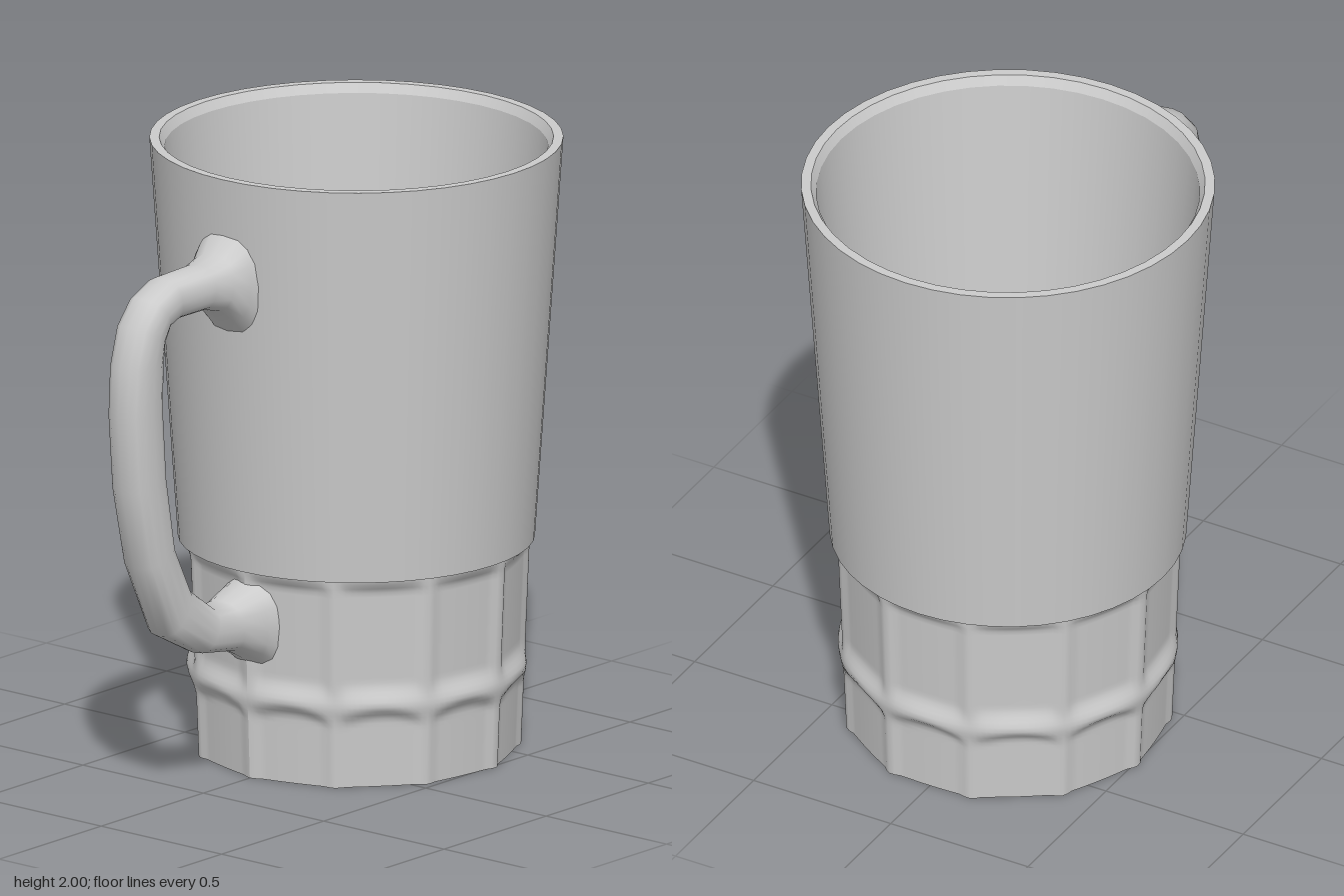
import * as THREE from 'three';

const PANELS = 11, CUP_X = 0.25;
const RIB = -Math.PI / 2; // one rib lines up with the handle
const material = new THREE.MeshStandardMaterial({ color: 0xcccccc });
const { smoothstep } = THREE.MathUtils;

// Radius of the panelled foot at angle a and height y
function footRadius(a, y) {
  const t = (((a - RIB) / (2 * Math.PI)) * PANELS + PANELS) % 1;
  const u = Math.abs(2 * t - 1); // 0 mid panel, 1 on a rib
  const across = 1 - smoothstep(u, 0.72, 1);
  const arch = 0.185 + 0.04 * (1 - u * u);
  const lower = 1 - smoothstep(y, arch, arch + 0.045);
  const upper = smoothstep(y, 0.275, 0.345) * (1 - smoothstep(y, 0.645, 0.685));
  const ridge = 0.006 * Math.exp(-(((y - 0.265) / 0.03) ** 2));
  const flat = 0.009 + 0.014 * (1 - u * u);
  return 0.522 + 0.04 * y + ridge - flat * across * Math.max(lower, upper);
}

// Push lathe vertices that pass the test onto the panelled surface
function flute(geometry, test) {
  const p = geometry.attributes.position;
  for (let i = 0; i < p.count; i++) {
    const x = p.getX(i), y = p.getY(i), z = p.getZ(i);
    if (!test(x, y, z)) continue;
    const a = Math.atan2(x, z), r = footRadius(a, y);
    p.setX(i, r * Math.sin(a));
    p.setZ(i, r * Math.cos(a));
  }
  geometry.computeVertexNormals();
  return geometry;
}

const lathe = (points, segments = 44) =>
  new THREE.LatheGeometry(points.map(([r, y]) => new THREE.Vector2(r, y)), segments, RIB);

// Handle lofted through stations: [outer x, outer y, inner x, inner y, half width]
function handleGeometry() {
  const stations = [
    [-0.35, 1.84, -0.35, 1.47, 0.13],
    [-0.395, 1.81, -0.4, 1.525, 0.12],
    [-0.44, 1.76, -0.46, 1.58, 0.093],
    [-0.51, 1.74, -0.53, 1.6, 0.08],
    [-0.69, 1.735, -0.67, 1.6, 0.077],
    [-0.79, 1.69, -0.71, 1.585, 0.077],
    [-0.86, 1.61, -0.73, 1.54, 0.077],
    [-0.9, 1.48, -0.735, 1.47, 0.076],
    [-0.91, 1.32, -0.735, 1.31, 0.075],
    [-0.89, 1.07, -0.72, 1.1, 0.075],
    [-0.83, 0.81, -0.68, 0.86, 0.075],
    [-0.71, 0.56, -0.6, 0.7, 0.075],
    [-0.54, 0.47, -0.47, 0.605, 0.077],
    [-0.38, 0.445, -0.4, 0.61, 0.085],
    [-0.3, 0.4, -0.31, 0.64, 0.11],
    [-0.26, 0.37, -0.26, 0.66, 0.12],
  ];
  const sides = 16, pos = [], idx = [];
  const round = (v) => Math.sign(v) * Math.abs(v) ** 0.8;
  stations.forEach(([ox, oy, ix, iy, w], s) => {
    for (let k = 0; k < sides; k++) {
      const a = (k / sides) * Math.PI * 2;
      const m = (1 - round(Math.cos(a))) / 2;
      pos.push(ox + (ix - ox) * m, oy + (iy - oy) * m, w * round(Math.sin(a)) - 0.007);
      if (s === stations.length - 1) continue;
      const i = s * sides + k, j = s * sides + ((k + 1) % sides);
      idx.push(i, i + sides, j, j, i + sides, j + sides);
    }
  });
  const g = new THREE.BufferGeometry();
  g.setAttribute('position', new THREE.Float32BufferAttribute(pos, 3));
  g.setIndex(idx);
  g.computeVertexNormals();
  return g;
}

export function createModel() {
  const group = new THREE.Group();
  group.name = 'mug';
  const cup = new THREE.Group();
  cup.name = 'cup';
  cup.position.x = CUP_X;
  const add = (parent, name, geometry) => {
    const mesh = new THREE.Mesh(geometry, material);
    mesh.name = name;
    parent.add(mesh);
  };

  // Panelled foot
  const rows = 46;
  const footProfile = Array.from({ length: rows + 1 }, (_, i) => [0.53, (0.69 * i) / rows]);
  add(cup, 'panelledFoot', flute(lathe(footProfile, PANELS * 16), () => true));

  // Recessed underside
  add(cup, 'undersideRim',
    flute(lathe([[0.457, 0.08], [0.48, 0.04], [0.51, 0]], PANELS * 16), (x, y) => y < 0.001));
  add(cup, 'underside', lathe([[0, 0.08], [0.457, 0.08]]));

  // Tapered body, each smooth band kept separate for crisp edges
  add(cup, 'bodyStep', lathe([[0.545, 0.69], [0.566, 0.69]]));
  add(cup, 'outerWall', lathe([[0.566, 0.69], [0.656, 2]]));
  add(cup, 'rim', lathe([[0.656, 2], [0.625, 2]]));
  add(cup, 'rimBevel', lathe([[0.625, 2], [0.608, 1.97]]));
  add(cup, 'innerWall', lathe([[0.608, 1.97], [0.452, 0.15]]));
  add(cup, 'innerFloor', lathe([[0.452, 0.15], [0, 0.15]]));
  group.add(cup);

  add(group, 'handle', handleGeometry());
  return group;
}
